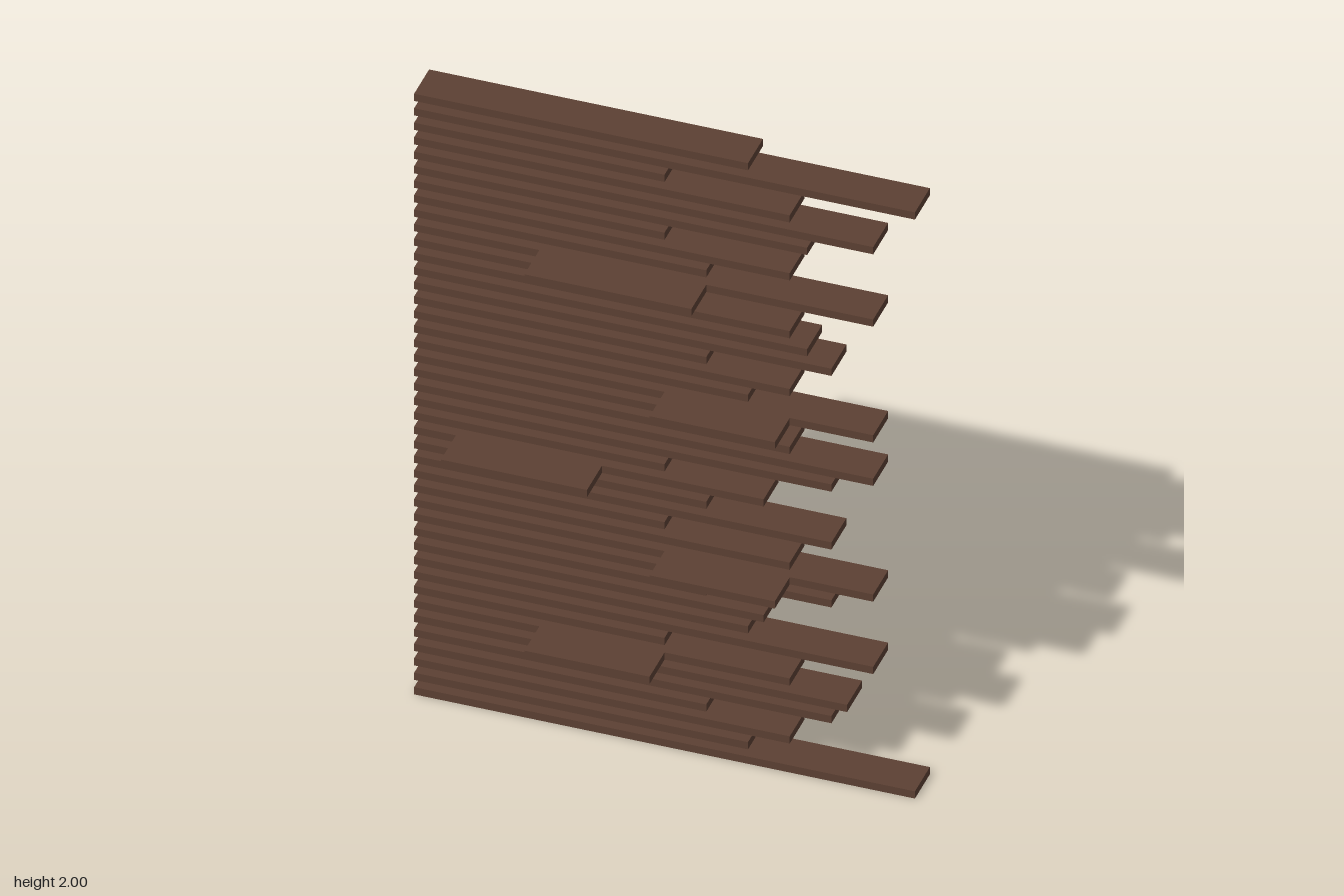
import * as THREE from 'three';

const HEIGHT = 0.024, DEPTH = 0.12, LEFT = -0.72;

// Right-hand end of each slat, from top to bottom
const ENDS = [
  0.24, 0.72, 0, 0.36, 0.6, 0.41, 0, 0.36, 0.12, 0.6, 0, 0.36, 0.41, 0.48,
  0.12, 0.36, 0.24, 0.6, 0, 0.36, 0.6, 0.48, 0, 0.285, 0.12, 0.48, 0, 0.36,
  0.6, 0.48, 0.12, 0.285, 0.24, 0.6, 0, 0.36, 0.525, 0.48, 0.12, 0.36, 0.24, 0.72,
];

// Small shelves in front: [slat row, left end, right end]
const SHELVES = [[9, -0.36, 0.12], [17, 0, 0.36], [23, -0.6, -0.18], [28, 0, 0.36], [35, -0.36, 0]];

export function createModel() {
  const group = new THREE.Group();
  group.name = 'slatWall';
  const wood = new THREE.MeshStandardMaterial({ color: 0x5c4033 });
  wood.name = 'darkWood';

  const pitch = (2 - HEIGHT) / (ENDS.length - 1);

  // One horizontal board lying in the given row
  const addBoard = (name, row, x0, x1, z) => {
    const board = new THREE.Mesh(new THREE.BoxGeometry(x1 - x0, HEIGHT, DEPTH), wood);
    board.name = name;
    board.position.set((x0 + x1) / 2, 2 - HEIGHT / 2 - row * pitch, z);
    group.add(board);
  };

  // Back slats, flush on one side and staggered on the other
  ENDS.forEach((end, row) => addBoard(`slat${row + 1}`, row, LEFT, end, -DEPTH / 2));

  // Shelves projecting forward from some slats
  SHELVES.forEach(([row, x0, x1], i) => addBoard(`shelf${i + 1}`, row, x0, x1, DEPTH / 2));

  return group;
}
